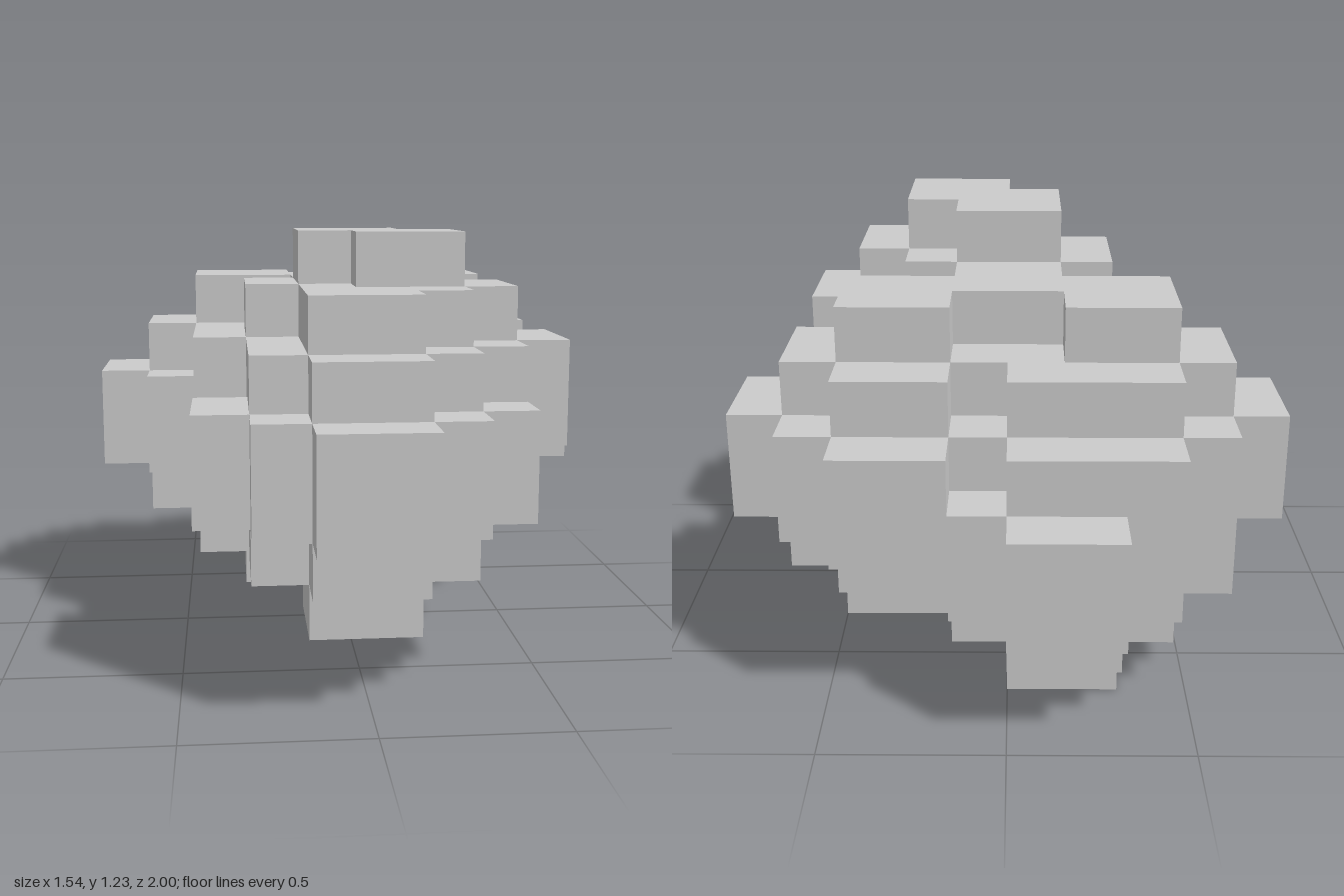
import * as THREE from 'three';
import { mergeGeometries } from 'three/addons/utils/BufferGeometryUtils.js';

const CELL = 2 / 13; // edge of one cube
const RADIUS = 3; // cubes from the middle of a lobe to its tip

// Middles of the stepped lobes, in cubes: x, y up from the ground, z from the back
const LOBES = [
  [0, 4, 10], // front
  [0, 5, 7], // crown
  [1, 5, 8], // crown, shifted
  [0, 4, 5], // bridge
  [2, 4, 4], // rear left
  [-2, 4, 4], // rear right
  [-1, 3, 3], // rear foot
];

const key = (x, y, z) => `${x},${y},${z}`;

// Union of all lobes as a map of filled cubes
function fillCells() {
  const cells = new Map();
  const ring = (i) => (i < 0 ? -i - 1 : i); // steps away from the middle plane
  for (const [cx, cy, cz] of LOBES)
    for (let i = -RADIUS; i < RADIUS; i++)
      for (let j = -RADIUS; j < RADIUS; j++)
        for (let k = -RADIUS; k < RADIUS; k++)
          if (ring(i) + ring(j) + ring(k) < RADIUS)
            cells.set(key(cx + i, cy + j, cz + k), [cx + i, cy + j, cz + k]);
  return cells;
}

// The six sides of a cube, each a square turned to face outwards
const SIDES = [
  [1, 0, 0], [-1, 0, 0], [0, 1, 0], [0, -1, 0], [0, 0, 1], [0, 0, -1],
].map((dir) => {
  const n = new THREE.Vector3(...dir);
  const face = new THREE.PlaneGeometry(CELL, CELL);
  face.rotateX((-n.y * Math.PI) / 2);
  if (n.x) face.rotateY((n.x * Math.PI) / 2);
  if (n.z < 0) face.rotateY(Math.PI);
  face.translate((n.x * CELL) / 2, (n.y * CELL) / 2, (n.z * CELL) / 2);
  return { dir, face };
});

export function createModel() {
  const group = new THREE.Group();
  group.name = 'blockCluster';

  // Keep only the squares that no neighbouring cube covers
  const cells = fillCells();
  const faces = [];
  for (const [x, y, z] of cells.values())
    for (const { dir, face } of SIDES)
      if (!cells.has(key(x + dir[0], y + dir[1], z + dir[2])))
        faces.push(face.clone().translate((x + 0.5) * CELL, (y + 0.5) * CELL, (z - 6) * CELL));

  const body = new THREE.Mesh(
    mergeGeometries(faces),
    new THREE.MeshStandardMaterial({ color: 0xcccccc, flatShading: true })
  );
  body.name = 'steppedLobes';
  group.add(body);
  return group;
}
